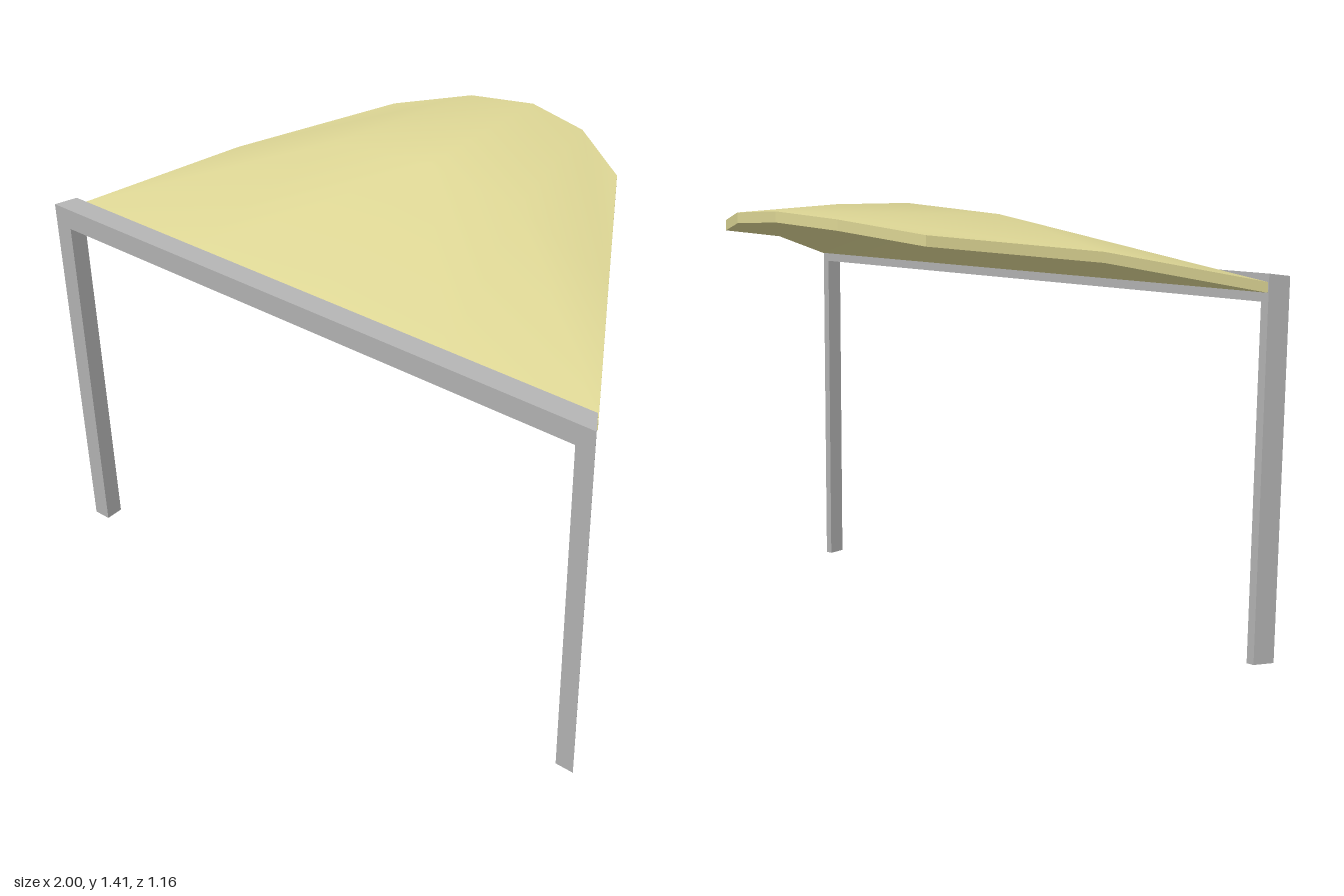
import * as THREE from 'three';
import { ConvexGeometry } from 'three/addons/geometries/ConvexGeometry.js';

const FRONT = 0.58, BACK = 0.52; // z faces of the frame

// Canopy grid: three rows from front to back, half of each row from the middle outwards
const HALF_ROWS = [
  [[0, 1.197, 0.515], [0.48, 1.197, 0.515], [0.965, 1.197, 0.515]],
  [[0, 1.415, -0.03], [0.35, 1.395, 0], [0.7, 1.3, 0.06]],
  [[0, 1.415, -0.58], [0.215, 1.4, -0.54], [0.43, 1.36, -0.405]],
];
const THICKNESS = 0.032;

function solid(points) {
  return new ConvexGeometry(points.map((p) => new THREE.Vector3(...p)));
}

function mesh(geometry, material, name) {
  const m = new THREE.Mesh(geometry, material);
  m.name = name;
  return m;
}

function geometryFrom(points, index) {
  const g = new THREE.BufferGeometry();
  g.setAttribute('position', new THREE.Float32BufferAttribute(points.flat(), 3));
  g.setIndex(index);
  return g;
}

function createCanopy(material) {
  const group = new THREE.Group();
  group.name = 'canopy';
  const rows = HALF_ROWS.map(([m, a, b]) => {
    const flip = ([x, y, z]) => [-x, y, z];
    return [flip(b), flip(a), m, a, b];
  });
  const top = rows.flat();
  const bottom = top.map(([x, y, z]) => [x, y - THICKNESS, z]);

  // Smooth upper and lower skins, with mirrored diagonals
  const index = [];
  for (let r = 0; r < 2; r++) {
    for (let c = 0; c < 4; c++) {
      const a = r * 5 + c, b = a + 1, d = a + 5, e = a + 6;
      if (c < 2) index.push(a, b, e, a, e, d);
      else index.push(a, b, d, b, e, d);
    }
  }
  const upper = geometryFrom(top, index);
  upper.computeVertexNormals();
  const lower = geometryFrom(bottom, index.slice().reverse());
  lower.computeVertexNormals();

  // Flat rim around the outline
  const loop = [0, 1, 2, 3, 4, 9, 14, 13, 12, 11, 10, 5];
  const rimIndex = [];
  loop.forEach((p, i) => {
    const q = loop[(i + 1) % loop.length];
    rimIndex.push(p, p + 15, q + 15, p, q + 15, q);
  });
  const rim = geometryFrom([...top, ...bottom], rimIndex).toNonIndexed();
  rim.computeVertexNormals();

  group.add(
    mesh(upper, material, 'canopyTop'),
    mesh(lower, material, 'canopyUnderside'),
    mesh(rim, material, 'canopyRim'),
  );
  return group;
}

export function createModel() {
  const steel = new THREE.MeshStandardMaterial({ color: 0xb0b0b0 });
  steel.name = 'greySteel';
  const fabric = new THREE.MeshStandardMaterial({ color: 0xdcd594 });
  fabric.name = 'paleYellowPanel';

  const model = new THREE.Group();
  model.name = 'canopyShelter';

  // Front beam with bevelled ends and a slightly tilted top
  const beamPoints = [];
  for (const s of [-1, 1]) {
    beamPoints.push([s, 1.145, FRONT], [s, 1.213, FRONT]);
    beamPoints.push([s * 0.965, 1.136, BACK], [s * 0.965, 1.222, BACK]);
  }
  model.add(mesh(solid(beamPoints), steel, 'frontBeam'));

  // Two posts whose outer faces follow the beam bevel
  for (const [s, name] of [[1, 'leftPost'], [-1, 'rightPost']]) {
    const points = [];
    for (const [x, z, h] of [[1, FRONT, 1.145], [0.94, FRONT, 1.145], [0.94, BACK, 1.136], [0.965, BACK, 1.136]]) {
      points.push([s * x, 0, z], [s * x, h, z]);
    }
    model.add(mesh(solid(points), steel, name));
  }

  model.add(createCanopy(fabric));
  return model;
}
